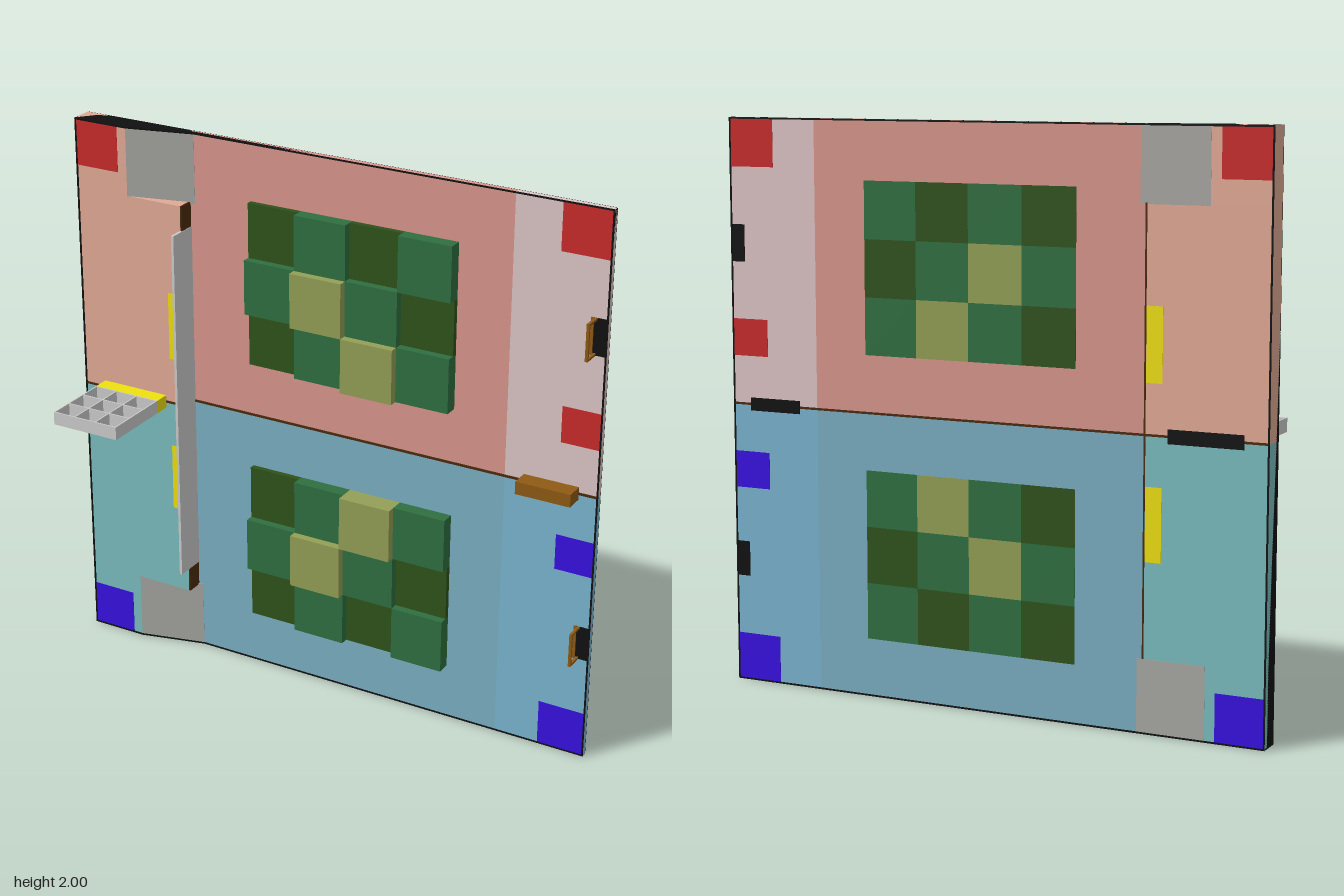
import * as THREE from 'three';

const BACK = -0.198, FLOOR = -0.18, DECK = -0.12;
const RED = 0xd8968c, BLUE = 0x7aaec2, BLACK = 0x101010, GREY = 0xcccccc, BROWN = 0x8f5a14;
const DARK_BROWN = 0x4a2a0c, YELLOW = 0xeee010, RAMP = 0xa8a7a2;
const GREENS = {
  d: { color: 0x2f521b, top: -0.16 },
  m: { color: 0x2f6f40, top: -0.13 },
  l: { color: 0x929f55, top: -0.1 },
};

export function createModel() {
  const model = new THREE.Group();
  model.name = 'gameField';
  const materials = {};
  const material = (color) => (materials[color] ??= new THREE.MeshStandardMaterial({ color }));

  const add = (name, color, geometry) => {
    const mesh = new THREE.Mesh(geometry, material(color));
    mesh.name = name;
    model.add(mesh);
    return mesh;
  };
  // Box given by its limits on each axis
  const box = (name, color, [x0, x1], [y0, y1], [z0, z1]) => {
    const geometry = new THREE.BoxGeometry(x1 - x0, y1 - y0, z1 - z0);
    geometry.translate((x0 + x1) / 2, (y0 + y1) / 2, (z0 + z1) / 2);
    return add(name, color, geometry);
  };
  // Profile of [x, z] points extruded along y
  const prism = (name, color, points, y0, y1) => {
    const shape = new THREE.Shape(points.map(([x, z]) => new THREE.Vector2(x, z)));
    const geometry = new THREE.ExtrudeGeometry(shape, { depth: y1 - y0, bevelEnabled: false });
    geometry.rotateX(Math.PI / 2).translate(0, y1, 0);
    return add(name, color, geometry);
  };
  // Marking that shows on both faces of the board
  const patch = (name, color, xs, ys, top = FLOOR) => box(name, color, xs, ys, [BACK - 0.001, top + 0.001]);

  // The two halves mirror each other about y = 1
  for (const upper of [true, false]) {
    const side = upper ? 'upper' : 'lower';
    const span = (a, b) => (upper ? [1 + a, 1 + b] : [1 - b, 1 - a]);
    const corner = upper ? 0xc82a2a : 0x3810e0;

    // Floor and raised deck
    box(side + 'Floor', upper ? RED : BLUE, [-0.57, 0.66], span(0, 1), [BACK, FLOOR]);
    box(side + 'EndZone', upper ? 0xdcc4c4 : 0x7ab4cf, [0.66, 1], span(0, 1), [BACK, FLOOR]);
    const deckColor = upper ? 0xe2aa96 : 0x7abcbe;
    box(side + 'Deck', deckColor, [-1, -0.574], span(0, 0.75), [BACK, DECK]);
    box(side + 'DeckEnd', deckColor, [-1, -0.79], span(0.75, 1), [BACK, DECK]);
    box(side + 'DeckEdge', DARK_BROWN, [-0.574, -0.568], span(0, 0.75), [BACK - 0.001, DECK]);

    // Ramp up to the deck
    const [r0, r1] = span(0.745, 0.994);
    prism(side + 'Ramp', RAMP,
      [[-0.79, BACK - 0.001], [-0.55, BACK - 0.001], [-0.55, FLOOR + 0.001], [-0.79, DECK + 0.001]], r0, r1);

    // Coloured markings
    patch(side + 'DeckCorner', corner, [-0.995, -0.826], span(0.83, 0.995), DECK);
    patch(side + 'FarCorner', corner, [0.825, 0.995], span(0.83, 0.995));
    patch(side + 'SideMark', corner, [0.857, 0.995], span(0.17, 0.3));
    patch(side + 'DeckMark', YELLOW, [-0.632, -0.575], span(0.17, 0.42), DECK);

    // Stepped mosaic of blocks, rows counted from the middle line outwards
    const rows = ['dmlm', 'mldm', 'dmdm'];
    rows[1] = 'mlmd';
    const x0 = -0.325, w = 0.1975;
    rows.forEach((row, r) => [...row].forEach((kind, c) => {
      const { color, top } = GREENS[kind];
      const y = 0.2 + r * 0.198;
      box(side + 'Block', color, [x0 + c * w, x0 + (c + 1) * w], span(y, y + 0.198), [BACK - 0.001, top]);
    }));

    // Gate: dark pad with an upright frame
    const [g0, g1] = upper ? [1.5, 1.63] : [0.38, 0.505];
    patch(side + 'GatePad', BLACK, [0.945, 0.997], [g0, g1]);
    const gx = [0.952, 0.962], t = 0.008;
    box(side + 'GatePost', BROWN, gx, [g0, g0 + t], [FLOOR, -0.115]);
    box(side + 'GatePost', BROWN, gx, [g1 - t, g1], [FLOOR, -0.115]);
    box(side + 'GateBar', BROWN, gx, [g0, g1], [-0.123, -0.115]);
    box(side + 'GateSill', BROWN, [0.94, 0.95], [g0, g1], [FLOOR, FLOOR + 0.004]);

    // Border following the deck, ramp and floor heights
    const [b0, b1] = span(0.994, 1);
    prism(side + 'Border', BLACK,
      [[-1, -0.2], [1, -0.2], [1, -0.178], [-0.55, -0.178], [-0.79, -0.117], [-1, -0.117]], b0, b1);
  }
  box('deckBorder', BLACK, [-1, -0.994], [0, 2], [-0.2, -0.117]);
  box('farBorder', BLACK, [0.994, 1], [0, 2], [-0.2, -0.178]);

  // Centre line
  box('deckCentreLine', DARK_BROWN, [-0.995, -0.568], [0.996, 1.004], [BACK - 0.001, DECK + 0.002]);
  box('floorCentreLine', DARK_BROWN, [-0.568, 0.995], [0.996, 1.004], [BACK - 0.001, FLOOR + 0.004]);

  // Long wall on the deck edge
  box('deckWall', GREY, [-0.576, -0.566], [0.345, 1.66], [FLOOR, -0.063]);

  // Brown block on the centre line
  box('centreBlock', BROWN, [0.73, 0.93], [0.977, 1.023], [FLOOR, -0.113]);
  box('centreBlockBase', BLACK, [0.73, 0.93], [0.977, 1.023], [-0.2, FLOOR]);

  // Yellow shelf carrying an open three by three rack
  const rackX = [-0.915, -0.652], rackY = [0.976, 1.024], rackZ = [-0.063, 0.2], t = 0.005;
  box('rackBase', BLACK, rackX, rackY, [-0.2, BACK]);
  box('rackShelf', YELLOW, rackX, rackY, [DECK - 0.01, rackZ[0]]);
  for (let i = 0; i < 4; i++) {
    const x = rackX[0] + (rackX[1] - rackX[0] - t) * i / 3;
    const z = rackZ[0] + (rackZ[1] - rackZ[0] - t) * i / 3;
    box('rackDivider', GREY, [x, x + t], rackY, rackZ);
    box('rackCrossDivider', GREY, rackX, rackY, [z, z + t]);
  }
  return model;
}
